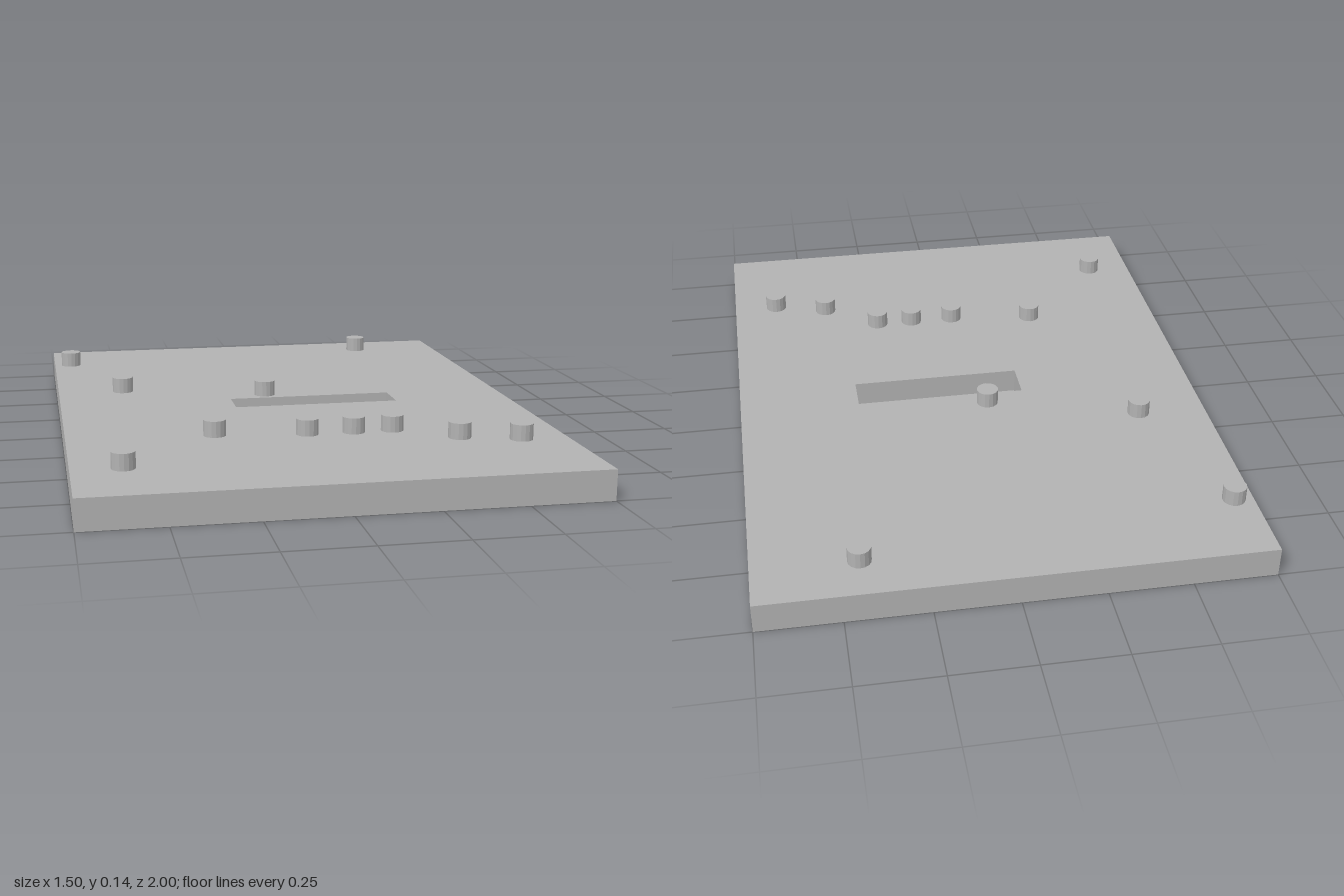
import * as THREE from 'three';

const gray = new THREE.MeshStandardMaterial({ color: 0xb2b2b2, flatShading: true });
gray.name = 'plain gray';

const THICK = 0.092, FLOOR = 0.012, PEG_R = 0.035, PEG_H = 0.05;
const SLOT = { x0: -0.18, x1: 0.365, z0: -0.065, z1: 0.06 };

// Peg centres on the plate, as [x, z]
const PEGS = [
  [-0.69, -0.75], [0.44, -0.855], [-0.53, -0.255], [-0.055, -0.115],
  [-0.3, 0.415], [-0.02, 0.452], [0.125, 0.452], [0.247, 0.452],
  [0.425, 0.577], [0.602, 0.63], [-0.6, 0.735],
];

function rectangle(target, x0, y0, x1, y1) {
  target.moveTo(x0, y0);
  target.lineTo(x1, y0);
  target.lineTo(x1, y1);
  target.lineTo(x0, y1);
  target.closePath();
  return target;
}

function addMesh(parent, name, geometry) {
  const mesh = new THREE.Mesh(geometry, gray);
  mesh.name = name;
  parent.add(mesh);
  return mesh;
}

export function createModel() {
  const model = new THREE.Group();
  model.name = 'peggedPlate';

  // Plate with the slot cut out, extruded upward (shape y becomes -z)
  const outline = rectangle(new THREE.Shape(), -0.75, -1, 0.75, 1);
  outline.holes.push(rectangle(new THREE.Path(), SLOT.x0, -SLOT.z1, SLOT.x1, -SLOT.z0));
  const plate = new THREE.ExtrudeGeometry(outline, { depth: THICK, bevelEnabled: false });
  plate.rotateX(-Math.PI / 2);
  addMesh(model, 'plate', plate);

  // Thin floor closing the bottom of the slot
  const floor = new THREE.BoxGeometry(SLOT.x1 - SLOT.x0, FLOOR, SLOT.z1 - SLOT.z0);
  addMesh(model, 'slotFloor', floor)
    .position.set((SLOT.x0 + SLOT.x1) / 2, FLOOR / 2, (SLOT.z0 + SLOT.z1) / 2);

  // Short round pegs standing on the plate
  const pegs = new THREE.Group();
  pegs.name = 'pegs';
  const pegShape = new THREE.CylinderGeometry(PEG_R, PEG_R, PEG_H, 16);
  for (const [x, z] of PEGS) {
    addMesh(pegs, 'peg', pegShape).position.set(x, THICK + PEG_H / 2, z);
  }
  model.add(pegs);

  return model;
}
